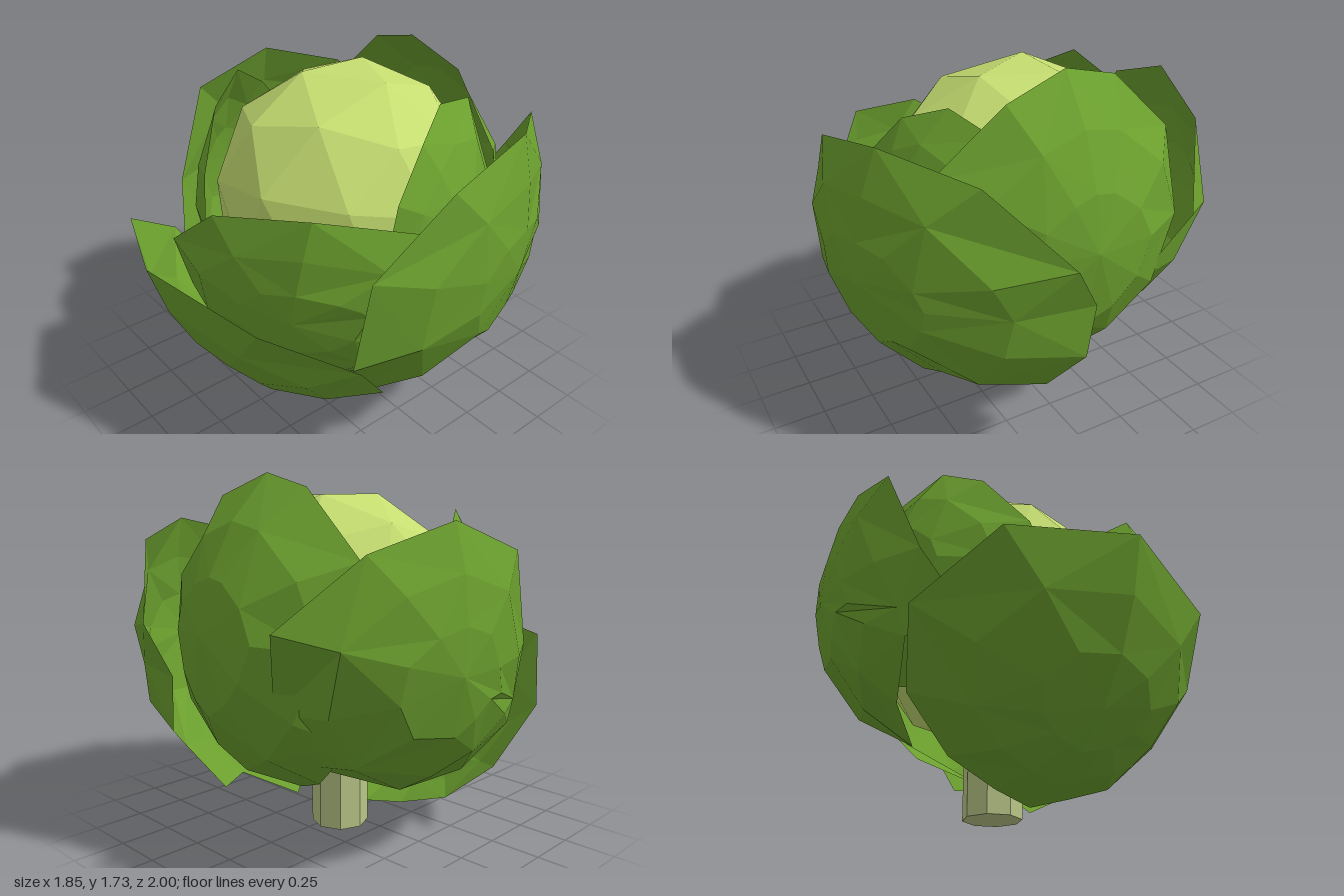
import * as THREE from 'three';

const CENTRE = new THREE.Vector3(-0.04, 0.97, -0.08);
const mat = (name, color, extra = {}) => {
  const m = new THREE.MeshStandardMaterial({ color, flatShading: true, ...extra });
  m.name = name;
  return m;
};

// Cupped leaf: rings swept around the heart from the leaf's middle out to its rim
function leafGeometry(pole, rim) {
  const rings = 3, n = rim.length;
  const mid = new THREE.Vector3(...pole).sub(CENTRE);
  const midDir = mid.clone().normalize();
  const pos = [], index = [];
  const add = (v) => pos.push(v.x, v.y, v.z);
  add(mid.clone().add(CENTRE));
  const edge = rim.map((p) => new THREE.Vector3(...p).sub(CENTRE));
  for (let r = 1; r <= rings; r++) {
    const t = r / rings;
    for (let i = 0; i < n; i++) {
      const e = edge[i];
      const axis = midDir.clone().cross(e).normalize();
      const dir = midDir.clone().applyAxisAngle(axis, midDir.angleTo(e) * t);
      // the leaf stays round in the middle and bends in or out near its rim
      add(dir.multiplyScalar(THREE.MathUtils.lerp(mid.length(), e.length(), t * t)).add(CENTRE));
    }
  }
  const at = (r, i) => 1 + (r - 1) * n + (i % n);
  for (let i = 0; i < n; i++) {
    index.push(0, at(1, i), at(1, i + 1));
    for (let r = 1; r < rings; r++) {
      const a = at(r, i), b = at(r, i + 1), c = at(r + 1, i), d = at(r + 1, i + 1);
      if ((i + r) % 2) index.push(a, c, d, a, d, b);
      else index.push(a, c, b, b, c, d);
    }
  }
  const g = new THREE.BufferGeometry();
  g.setAttribute('position', new THREE.Float32BufferAttribute(pos, 3));
  g.setIndex(index);
  g.computeVertexNormals();
  return g;
}

// Each leaf: its middle point and the outline of its rim
const leaves = {
  frontOuterLeaf: [[-0.02, 0.32, 0.68], [
    [-0.07, 0.98, 1.0], [-0.62, 0.92, 0.8], [-0.83, 0.65, 0.46], [-0.72, 0.36, 0.28], [-0.48, 0.15, 0.23],
    [-0.22, 0.06, 0.2], [0, 0.02, 0.16], [0.2, 0.08, 0.2], [0.41, 0.15, 0.23], [0.68, 0.39, 0.28],
    [0.75, 0.65, 0.48], [0.49, 0.86, 0.82]]],
  leftOuterLeaf: [[0.89, 0.9, -0.33], [
    [0.77, 1.1, 0.45], [0.84, 1.41, 0.08], [0.78, 1.51, -0.4], [0.52, 1.43, -0.78], [0.22, 1.1, -1.0],
    [0.09, 0.88, -0.95], [0.12, 0.63, -0.94], [0.13, 0.29, -0.66], [0.29, 0.26, -0.43], [0.22, 0.08, -0.12],
    [0.48, 0.24, 0.25], [0.72, 0.66, 0.5]]],
  rightOuterLeaf: [[-0.91, 0.92, -0.24], [
    [-0.8, 1.54, -0.18], [-0.84, 1.4, 0.22], [-0.77, 0.95, 0.42], [-0.6, 0.64, 0.53], [-0.76, 0.58, 0.32],
    [-0.66, 0.38, 0.1], [-0.46, 0.28, -0.1], [-0.25, 0.45, -0.5], [-0.29, 0.74, -0.72],
    [-0.45, 1.12, -0.87], [-0.68, 1.42, -0.58]]],
  backLeaf: [[0.02, 1.05, -0.86], [
    [-0.02, 1.73, -0.5], [-0.27, 1.67, -0.5], [-0.58, 1.38, -0.5], [-0.7, 1.0, -0.45], [-0.53, 0.6, -0.5],
    [-0.25, 0.34, -0.42], [0.05, 0.2, -0.25], [0.25, 0.3, -0.36], [0.45, 0.55, -0.48], [0.62, 1.0, -0.44],
    [0.58, 1.34, -0.45], [0.27, 1.63, -0.52]]],
  frontInnerLeaf: [[0.45, 0.8, 0.62], [
    [-0.24, 0.97, 0.77], [0.11, 1.24, 0.76], [0.52, 1.31, 0.55], [0.79, 1.2, 0.1], [0.81, 1.1, -0.16],
    [0.72, 1.0, -0.24], [0.72, 0.65, -0.12], [0.58, 0.4, 0.1], [0.3, 0.28, 0.38], [-0.1, 0.33, 0.52],
    [-0.33, 0.62, 0.65]]],
  rightInnerLeaf: [[-0.76, 1.0, 0.12], [
    [-0.53, 1.57, 0.18], [-0.43, 1.46, 0.38], [-0.29, 1.2, 0.55], [-0.22, 0.95, 0.61], [-0.3, 0.6, 0.52],
    [-0.52, 0.45, 0.2], [-0.62, 0.55, -0.15], [-0.72, 0.9, -0.4], [-0.75, 1.2, -0.25], [-0.66, 1.42, -0.05]]],
  leftInnerLeaf: [[0.67, 1.08, -0.18], [
    [0.32, 1.5, -0.55], [0.4, 1.56, -0.27], [0.52, 1.47, -0.05], [0.59, 1.27, 0.15], [0.6, 1.0, 0.22],
    [0.57, 0.6, 0.1], [0.55, 0.52, -0.2], [0.45, 0.6, -0.48], [0.38, 1.05, -0.7]]],
};

export function createModel() {
  const group = new THREE.Group();
  const leafGreen = mat('leaf green', 0x6b9f2e, { side: THREE.DoubleSide });
  const heartGreen = mat('pale heart green', 0xc4dc70);
  const stemGreen = mat('stem green', 0xb8c586);

  const addMesh = (name, geometry, material) => {
    const mesh = new THREE.Mesh(geometry, material);
    mesh.name = name;
    group.add(mesh);
    return mesh;
  };

  // Pale faceted heart
  const heart = addMesh('heart', new THREE.IcosahedronGeometry(0.65, 1), heartGreen);
  heart.position.set(-0.04, 1.02, -0.1);
  heart.rotation.set(0.27, Math.PI / 2, 0.18, 'XZY');

  // Eight-sided stalk
  const stem = addMesh('stem', new THREE.CylinderGeometry(0.14, 0.14, 0.5, 8), stemGreen);
  stem.position.set(-0.04, 0.25, -0.07);

  // Wrapping leaves
  for (const [name, [pole, rim]] of Object.entries(leaves)) {
    addMesh(name, leafGeometry(pole, rim), leafGreen);
  }
  return group;
}
